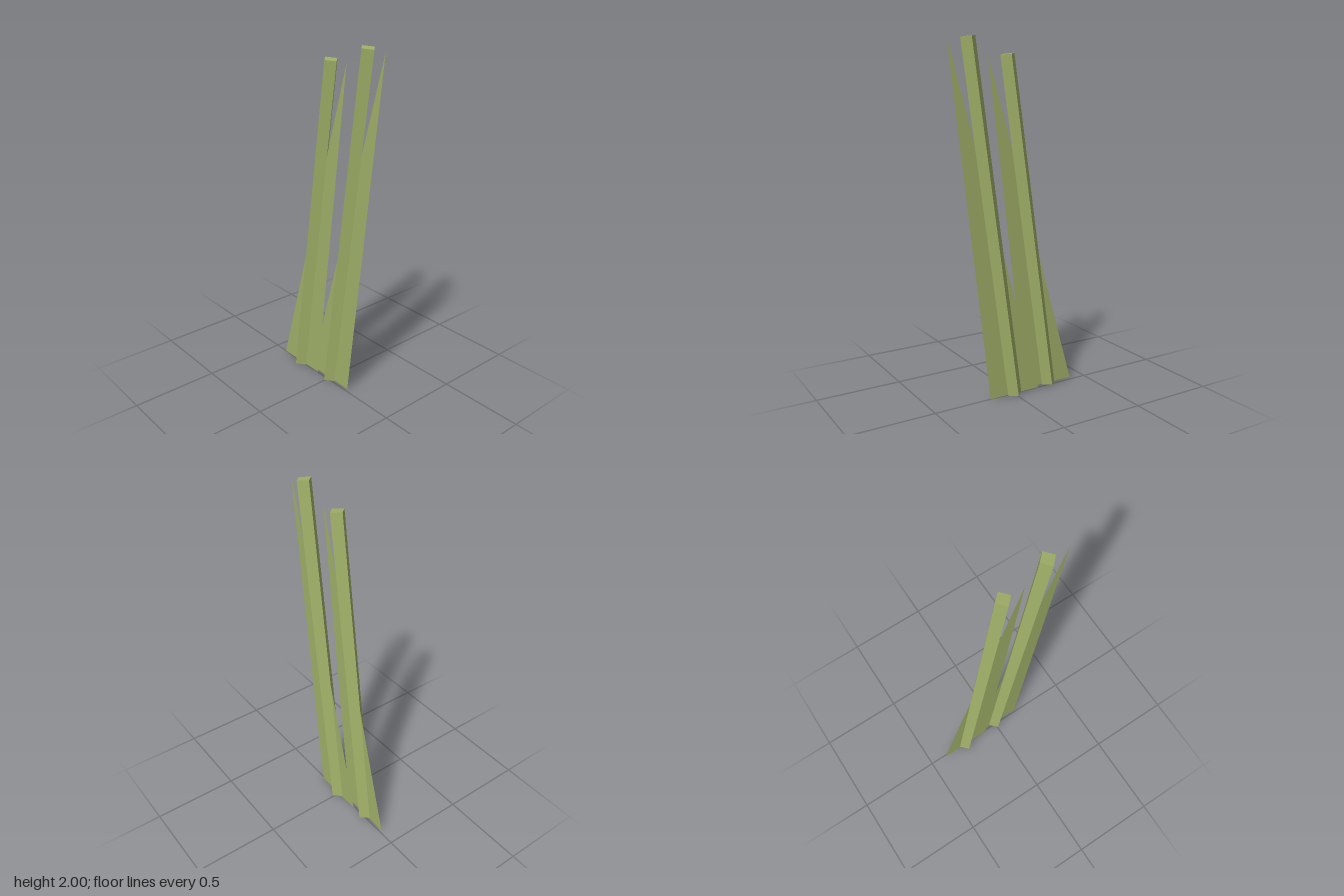
import * as THREE from 'three';

const green = new THREE.MeshStandardMaterial({ color: 0xa0b068, flatShading: true, side: THREE.DoubleSide });
green.name = 'reedGreen';

// One reed: a leaning square stalk set corner-forward, and a flat tapering leaf through it
function makeReed(name, base, top, z, leafPoints) {
  const reed = new THREE.Group();
  reed.name = name;
  reed.position.z = z;

  const axis = new THREE.Vector2().subVectors(top, base);
  const stalk = new THREE.Mesh(new THREE.CylinderGeometry(0.0437, 0.0437, axis.length(), 4), green);
  stalk.name = 'stalk';
  stalk.position.set((base.x + top.x) / 2, (base.y + top.y) / 2, 0);
  stalk.rotation.z = -Math.atan2(axis.x, axis.y);

  const leaf = new THREE.Mesh(new THREE.ShapeGeometry(new THREE.Shape(leafPoints)), green);
  leaf.name = 'leaf';

  reed.add(stalk, leaf);
  return reed;
}

export function createModel() {
  const v = (x, y) => new THREE.Vector2(x, y);
  const model = new THREE.Group();
  model.name = 'reeds';
  model.add(
    makeReed('shortReed', v(-0.243, 0.011), v(0.035, 1.91), 0.009,
      [v(-0.4, 0.011), v(-0.083, 0.011), v(0.153, 1.91)]),
    makeReed('tallReed', v(0.002, 0.007), v(0.281, 1.994), -0.012,
      [v(-0.157, 0.007), v(0.161, 0.007), v(0.4, 1.99)]),
  );
  return model;
}
